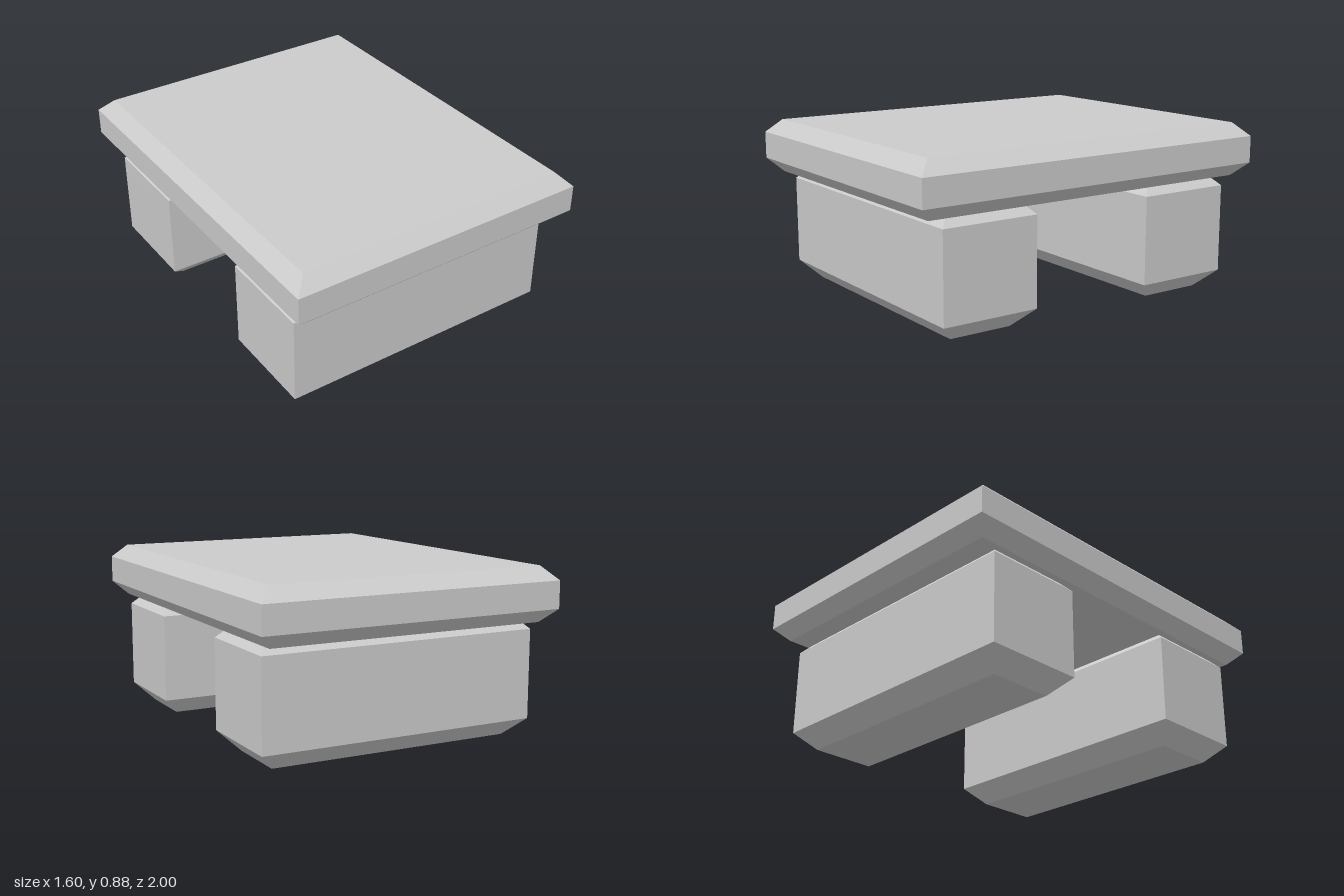
import * as THREE from 'three';

// Box with its top and bottom rims chamfered at 45 degrees, standing on y = 0
function chamferedBlock(width, height, depth, chamfer) {
  const rings = [
    [0, chamfer],
    [chamfer, 0],
    [height - chamfer, 0],
    [height, chamfer],
  ];
  const corners = [[1, 1], [1, -1], [-1, -1], [-1, 1]];
  const positions = [];
  for (const [y, inset] of rings) {
    for (const [sx, sz] of corners) {
      positions.push(sx * (width / 2 - inset), y, sz * (depth / 2 - inset));
    }
  }

  const index = [0, 2, 1, 0, 3, 2]; // bottom
  for (let r = 0; r < rings.length - 1; r++) {
    for (let j = 0; j < 4; j++) {
      const a = r * 4 + j;
      const b = r * 4 + ((j + 1) % 4);
      index.push(a, b, b + 4, a, b + 4, a + 4);
    }
  }
  index.push(12, 13, 14, 12, 14, 15); // top

  const indexed = new THREE.BufferGeometry();
  indexed.setAttribute('position', new THREE.Float32BufferAttribute(positions, 3));
  indexed.setIndex(index);
  const geometry = indexed.toNonIndexed();
  geometry.computeVertexNormals(); // sharp faces
  return geometry;
}

export function createModel() {
  const model = new THREE.Group();
  model.name = 'slabTable';

  const stone = new THREE.MeshStandardMaterial({ color: 0xcccccc });
  stone.name = 'light grey stone';

  // Top slab
  const slab = new THREE.Mesh(chamferedBlock(1.6, 0.28, 2, 0.07), stone);
  slab.name = 'topSlab';
  slab.position.y = 0.595;
  model.add(slab);

  // Two supporting blocks, their upper chamfers sunk into the slab
  const supportGeometry = chamferedBlock(1.476, 0.643, 0.52, 0.093);
  for (const [name, side] of [['frontSupport', 1], ['backSupport', -1]]) {
    const support = new THREE.Mesh(supportGeometry, stone);
    support.name = name;
    support.position.z = side * 0.6;
    model.add(support);
  }

  return model;
}
